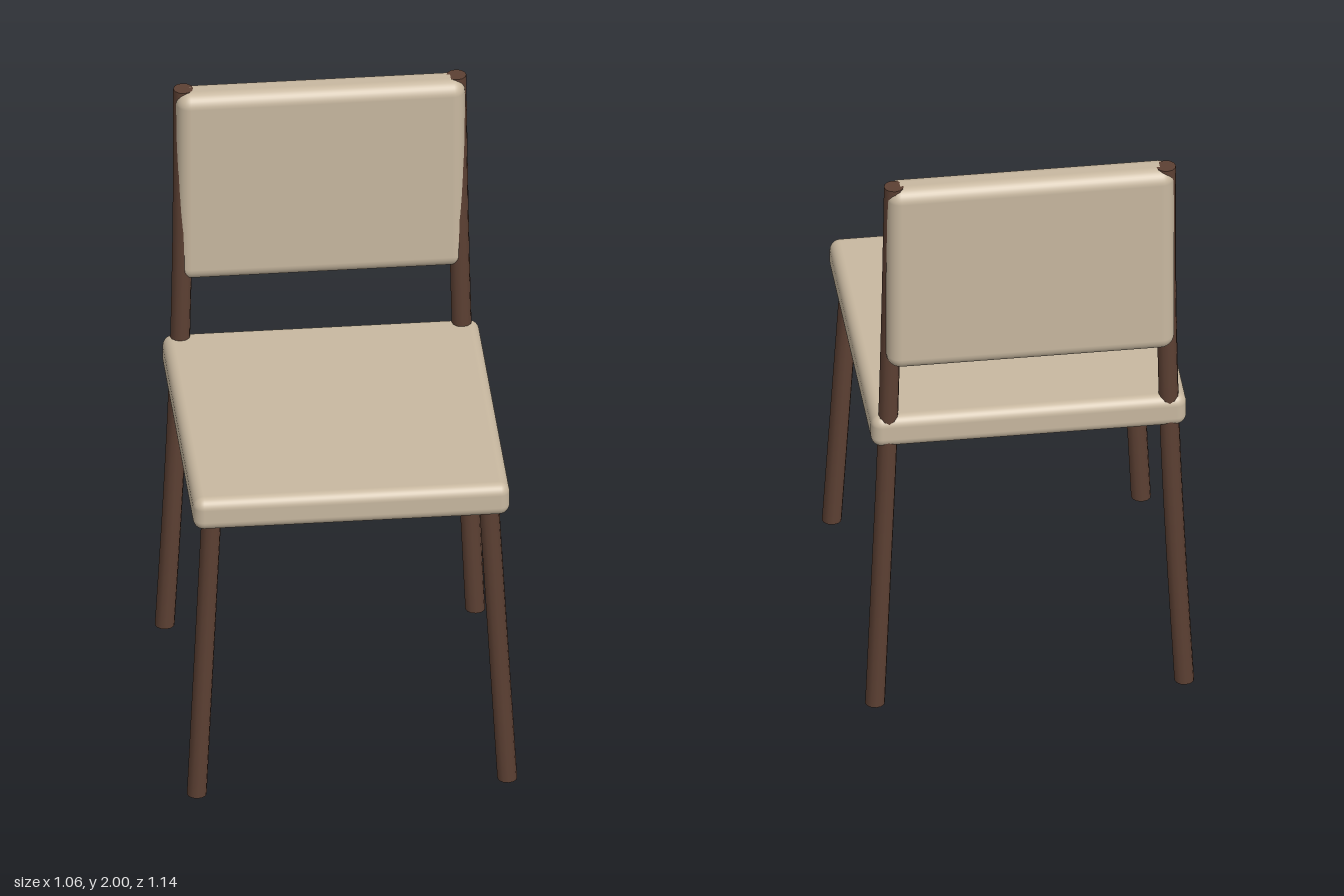
import * as THREE from 'three';
import { RoundedBoxGeometry } from 'three/addons/geometries/RoundedBoxGeometry.js';

const LEG_RADIUS = 0.032;

// Round leg following points listed from the floor up
function legGeometry(points, rings) {
  const curve = new THREE.CatmullRomCurve3(points.map(p => new THREE.Vector3(...p)));
  const geo = new THREE.CylinderGeometry(LEG_RADIUS, LEG_RADIUS, 1, 12, rings);
  const pos = geo.attributes.position;
  for (let i = 0; i < pos.count; i++) {
    const c = curve.getPoint(THREE.MathUtils.clamp(pos.getY(i) + 0.5, 0, 1));
    pos.setXYZ(i, pos.getX(i) + c.x, c.y, pos.getZ(i) + c.z);
  }
  return geo;
}

export function createModel() {
  const model = new THREE.Group();
  model.name = 'chair';

  const wood = new THREE.MeshStandardMaterial({ color: 0x5c4033 });
  wood.name = 'dark brown wood';
  const fabric = new THREE.MeshStandardMaterial({ color: 0xc8b8a0 });
  fabric.name = 'beige upholstery';

  const add = (name, geo, mat, x = 0, y = 0, z = 0) => {
    const mesh = new THREE.Mesh(geo, mat);
    mesh.name = name;
    mesh.position.set(x, y, z);
    model.add(mesh);
  };

  // Padded seat and backrest
  add('seat', new RoundedBoxGeometry(1.02, 0.115, 1.065, 4, 0.035), fabric, 0, 1.0375, 0.0125);
  add('backrest', new RoundedBoxGeometry(0.93, 0.69, 0.115, 4, 0.045), fabric, 0, 1.655, -0.5125);

  // Splayed front legs, and curved back legs that carry on up as backrest posts
  for (const [side, s] of [['left', 1], ['right', -1]]) {
    add(side + 'FrontLeg', legGeometry([[s * 0.5, 0, 0.537], [s * 0.445, 1.04, 0.475]], 1), wood);
    add(side + 'BackLeg', legGeometry([
      [s * 0.5, 0, -0.515],
      [s * 0.476, 0.5, -0.49],
      [s * 0.456, 1, -0.485],
      [s * 0.445, 1.5, -0.495],
      [s * 0.44, 2, -0.522],
    ], 16), wood);
  }
  return model;
}
